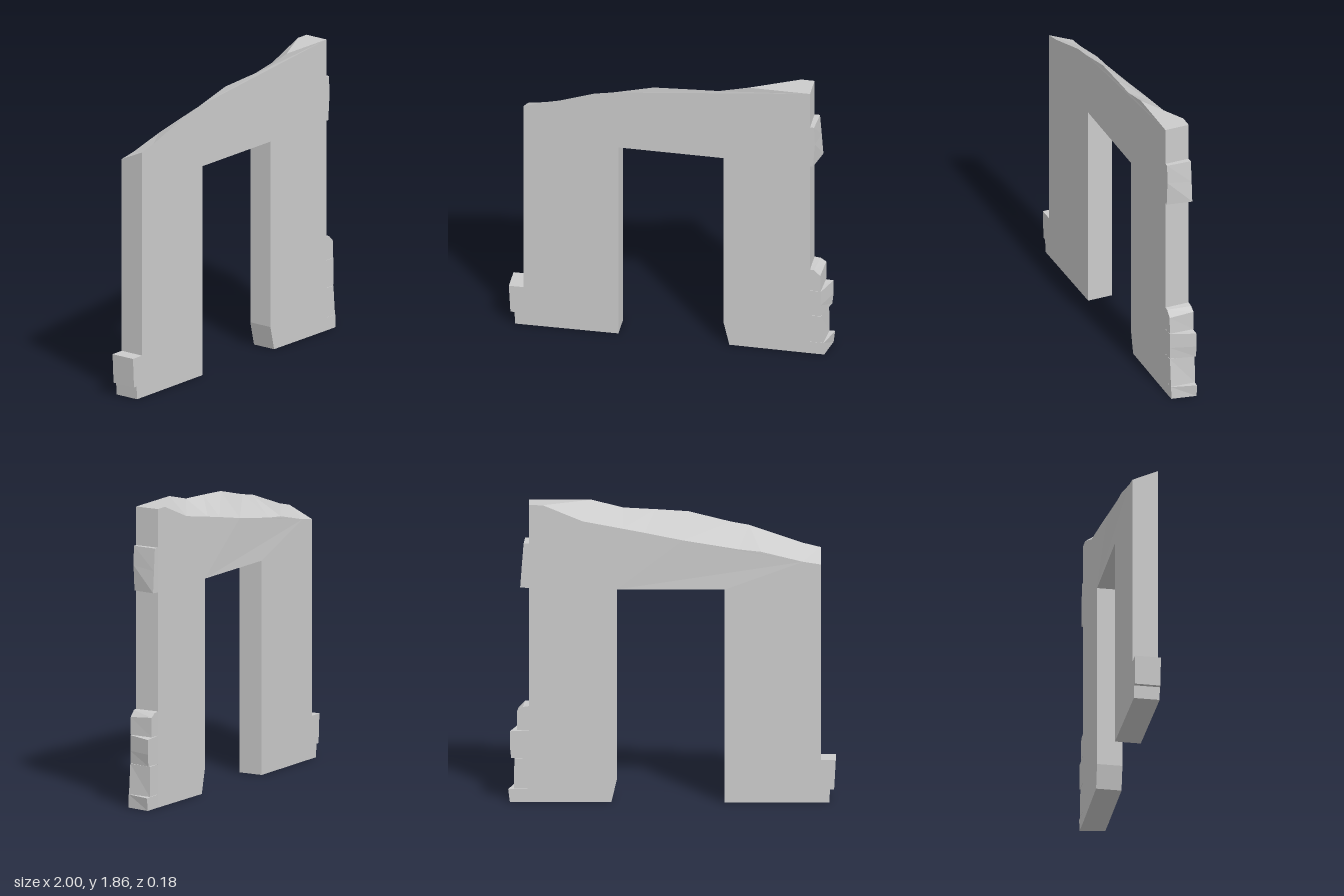
import * as THREE from 'three';

const material = new THREE.MeshStandardMaterial({ color: 0xcccccc, flatShading: true });

// The wall bends slightly forward towards its +x end
const bend = (x) => THREE.MathUtils.clamp((x + 0.1) / 0.97, 0, 1);
const frontZ = (x) => 0.07 + 0.015 * bend(x);
const backZ = (x) => -0.09 + 0.02 * bend(x);

// Solid between a front and a back outline; rows are [x, y] or [frontX, frontY, backX, backY], counter-clockwise
function slab(name, rows) {
  const front = rows.map(([x, y]) => new THREE.Vector3(x, y, frontZ(x)));
  const back = rows.map(([x, y, bx = x, by = y]) => new THREE.Vector3(bx, by, backZ(bx)));
  const points = [];
  const cap = (loop, flip) => {
    const flat = loop.map((p) => new THREE.Vector2(p.x, p.y));
    for (const [a, b, c] of THREE.ShapeUtils.triangulateShape(flat, [])) {
      points.push(loop[a], loop[flip ? c : b], loop[flip ? b : c]);
    }
  };
  cap(front, false);
  cap(back, true);
  rows.forEach((_, i) => {
    const j = (i + 1) % rows.length;
    points.push(front[i], back[i], front[j], back[i], back[j], front[j]);
  });
  const geometry = new THREE.BufferGeometry().setFromPoints(points);
  geometry.computeVertexNormals();
  const mesh = new THREE.Mesh(geometry, material);
  mesh.name = name;
  return mesh;
}

export function createModel() {
  const model = new THREE.Group();
  model.name = 'ruinedDoorwayWall';

  // Wall with doorway and a broken top that slopes down towards the back
  model.add(slab('wall', [
    [-0.91, 0], [-0.32, 0], [-0.32, 1.335], [0.335, 1.335], [0.335, 0.15], [0.37, 0], [0.872, 0],
    [0.872, 1.86],
    [0.79, 1.86],
    [0.49, 1.86, 0.544, 1.76],
    [0.3, 1.812, 0.3, 1.715],
    [0.1, 1.802, 0.167, 1.69],
    [-0.1, 1.79, -0.065, 1.644],
    [-0.36, 1.725, -0.405, 1.588],
    [-0.47, 1.705, -0.543, 1.573],
    [-0.8, 1.592, -0.8, 1.51],
    [-0.91, 1.565, -0.91, 1.493],
  ]));

  // Projecting stones at the foot of the -x end
  model.add(slab('rightFootStone', [[-0.96, 0], [-0.91, 0], [-0.91, 0.083], [-0.965, 0.083]]));
  model.add(slab('rightQuoinStone', [[-0.99, 0.083], [-0.91, 0.083], [-0.91, 0.267], [-1, 0.267]]));

  // Broken stones along the +x end
  model.add(slab('leftUpperStone', [
    [0.872, 1.34], [0.89, 1.34, 0.927, 1.345], [0.902, 1.5, 0.917, 1.48], [0.897, 1.62, 0.906, 1.62], [0.872, 1.62],
  ]));
  model.add(slab('leftQuoinTop', [
    [0.872, 0.45], [0.938, 0.45, 0.945, 0.45], [0.935, 0.56, 0.945, 0.572], [0.897, 0.598, 0.91, 0.595], [0.872, 0.6],
  ]));
  model.add(slab('leftQuoinMiddle', [
    [0.872, 0.272], [0.938, 0.272, 0.982, 0.275], [0.94, 0.35, 0.99, 0.35], [0.94, 0.448, 0.99, 0.442], [0.872, 0.448],
  ]));
  model.add(slab('leftQuoinLower', [
    [0.872, 0.083], [0.955, 0.083, 0.966, 0.083], [0.94, 0.27, 0.962, 0.27], [0.872, 0.27],
  ]));
  model.add(slab('leftFootStone', [
    [0.872, 0], [0.96, 0, 0.99, 0], [0.958, 0.082, 1, 0.08], [0.872, 0.082],
  ]));

  return model;
}
